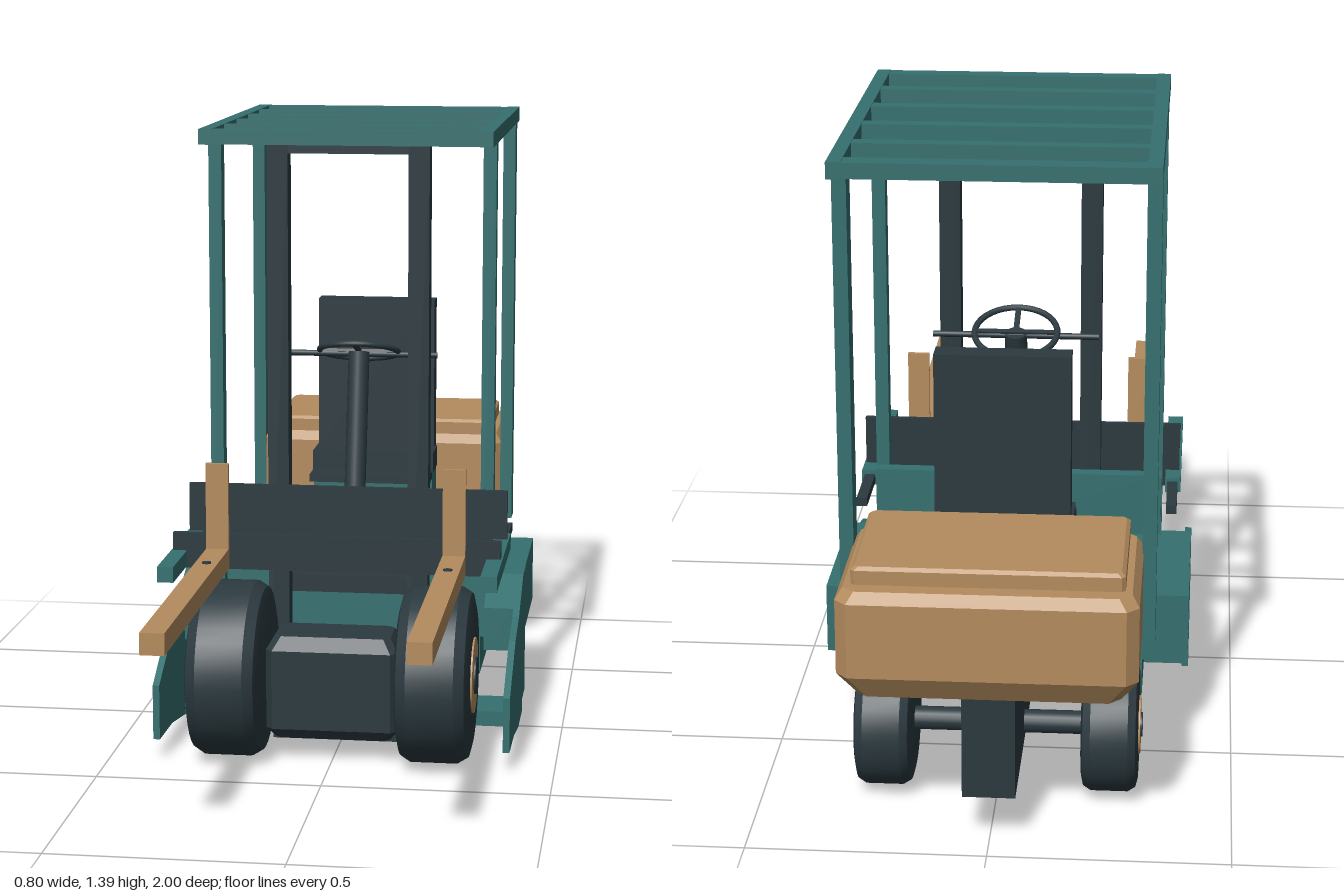
import * as THREE from 'three';
import { toCreasedNormals } from 'three/addons/utils/BufferGeometryUtils.js';

const material = (name, color) => {
  const m = new THREE.MeshStandardMaterial({ color });
  m.name = name;
  return m;
};

export function createModel() {
  const model = new THREE.Group();
  model.name = 'forklift';
  const teal = material('teal paint', 0x35706f);
  const dark = material('dark rubber and steel', 0x2b393f);
  const tan = material('tan paint', 0xb48c5e);

  const add = (name, geometry, mat) => {
    const mesh = new THREE.Mesh(geometry, mat);
    mesh.name = name;
    model.add(mesh);
    return mesh;
  };
  // Box given by its limits on each axis
  const box = (name, mat, x0, x1, y0, y1, z0, z1) =>
    add(name, new THREE.BoxGeometry(x1 - x0, y1 - y0, z1 - z0), mat)
      .position.set((x0 + x1) / 2, (y0 + y1) / 2, (z0 + z1) / 2);
  // Box centred on x = 0
  const mid = (name, mat, hx, ...rest) => box(name, mat, -hx, hx, ...rest);
  // Mirrored pair of boxes
  const pair = (name, mat, x0, x1, ...rest) => {
    box(name + 'Left', mat, x0, x1, ...rest);
    box(name + 'Right', mat, -x1, -x0, ...rest);
  };
  // Side profile in (z, y), extruded from x0 to x1
  const profile = (name, mat, points, x0, x1) => {
    const shape = new THREE.Shape(points.map(p => new THREE.Vector2(...p)));
    const g = new THREE.ExtrudeGeometry(shape, { depth: x1 - x0, bevelEnabled: false });
    g.rotateY(-Math.PI / 2).translate(x1, 0, 0);
    add(name, g, mat);
  };
  // Round bar between two points
  const rod = (name, mat, a, b, r, sides = 16) => {
    const from = new THREE.Vector3(...a), to = new THREE.Vector3(...b);
    const dir = to.clone().sub(from);
    const m = add(name, new THREE.CylinderGeometry(r, r, dir.length(), sides), mat);
    m.position.copy(from).add(to).multiplyScalar(0.5);
    m.quaternion.setFromUnitVectors(new THREE.Vector3(0, 1, 0), dir.normalize());
  };
  // Stack of chamfered rectangles: [y, half width, zBack, zFront]
  const loft = (name, mat, rings, c) => {
    const pos = [], idx = [], n = 8;
    for (const [y, w, a, b] of rings) {
      for (const [x, z] of [[w, a + c], [w, b - c], [w - c, b], [c - w, b],
        [-w, b - c], [-w, a + c], [c - w, a], [w - c, a]]) pos.push(x, y, z);
    }
    for (let r = 0; r < rings.length - 1; r++) {
      for (let i = 0; i < n; i++) {
        const p = r * n + i, q = r * n + (i + 1) % n;
        idx.push(p, p + n, q, q, p + n, q + n);
      }
    }
    const top = (rings.length - 1) * n;
    for (let i = 1; i < n - 1; i++) {
      idx.push(0, i, i + 1, top, top + i + 1, top + i);
    }
    // Side corners run +z first, so flip to face outward
    for (let i = 0; i < idx.length; i += 3) [idx[i + 1], idx[i + 2]] = [idx[i + 2], idx[i + 1]];
    const g = new THREE.BufferGeometry();
    g.setAttribute('position', new THREE.Float32BufferAttribute(pos, 3));
    g.setIndex(idx);
    // Orient by the sign of the enclosed volume
    let volume = 0;
    const v = i => new THREE.Vector3(pos[i * 3], pos[i * 3 + 1], pos[i * 3 + 2]);
    for (let i = 0; i < idx.length; i += 3) volume += v(idx[i]).dot(v(idx[i + 1]).cross(v(idx[i + 2])));
    if (volume < 0) g.setIndex(idx.reverse());
    add(name, toCreasedNormals(g, 0.2), mat);
  };

  // Wheels: bevelled tyre, hub disc and centre cap
  const wheel = (name, side, x, y, z, r, w, hubR, capR) => {
    const group = new THREE.Group();
    group.name = name;
    const h = w / 2, b = r * 0.09;
    const pts = [[0, -h], [r * 0.8, -h], [r * 0.93, -h + b * 0.35], [r, -h + b * 1.6],
      [r, h - b * 1.6], [r * 0.93, h - b * 0.35], [r * 0.8, h], [0, h]];
    const tyre = toCreasedNormals(
      new THREE.LatheGeometry(pts.map(p => new THREE.Vector2(...p)), 36), 0.35);
    const parts = [['tyre', tyre, dark, 0],
      ['hub', new THREE.CylinderGeometry(hubR, hubR, 0.008, 28), tan, h],
      ['cap', new THREE.CylinderGeometry(capR, capR, 0.012, 20), dark, h + 0.002]];
    for (const [part, g, mat, offset] of parts) {
      const m = new THREE.Mesh(g, mat);
      m.name = part;
      m.position.y = offset;
      group.add(m);
    }
    group.rotation.z = -side * Math.PI / 2;
    group.position.set(side * x, y, z);
    model.add(group);
  };
  for (const side of [1, -1]) {
    wheel('frontWheel', side, 0.232, 0.203, 0.275, 0.198, 0.162, 0.085, 0.042);
    wheel('rearWheel', side, 0.24, 0.15, -0.665, 0.143, 0.12, 0.062, 0.026);
  }
  rod('rearAxle', dark, [-0.2, 0.15, -0.665], [0.2, 0.15, -0.665], 0.025);
  // Drive housing between the front wheels
  loft('driveHousing', dark, [[0.055, 0.13, 0.2, 0.32], [0.08, 0.148, 0.185, 0.34],
    [0.26, 0.148, 0.185, 0.34], [0.29, 0.13, 0.2, 0.32]], 0.015);
  mid('lowerFrame', dark, 0.15, 0.02, 0.05, -0.07, 0.21);

  // Chassis
  mid('deck', teal, 0.4, 0.2, 0.355, -0.445, -0.065);
  mid('underbody', teal, 0.3, 0.11, 0.2, -0.46, -0.07);
  mid('floorMat', dark, 0.2, 0.3, 0.36, -0.555, -0.09);
  mid('rearChassis', dark, 0.055, 0.11, 0.35, -0.945, -0.46);
  mid('bottomPlate', teal, 0.385, 0.02, 0.055, -0.07, 0.06);
  mid('dashPanel', teal, 0.33, 0.3, 0.5, -0.092, -0.06);
  const skirt = [[0.355, 0.05], [0.355, 0.175], [0.19, 0.262], [0.08, 0.288], [-0.065, 0.355],
    [-0.15, 0.355], [-0.15, 0.05], [-0.07, 0.05], [-0.07, 0.02], [0.06, 0.02], [0.21, 0.045]];
  const slope = [[-0.065, 0.2], [-0.065, 0.355], [0.05, 0.3], [0.05, 0.2]];
  for (const s of [1, -1]) {
    const span = (a, b) => s > 0 ? [a, b] : [-b, -a];
    profile('sideSkirt', teal, skirt, ...span(0.386, 0.401));
    profile('fenderSlope', teal, slope, ...span(0.318, 0.386));
  }

  // Counterweight with its lid
  loft('counterweight', tan, [[0.34, 0.27, -0.965, -0.655], [0.395, 0.305, -1, -0.62],
    [0.555, 0.305, -1, -0.62], [0.578, 0.29, -0.985, -0.63]], 0.025);
  loft('counterweightLid', tan, [[0.575, 0.276, -0.95, -0.63], [0.608, 0.276, -0.95, -0.63],
    [0.615, 0.268, -0.943, -0.637]], 0.008);

  // Overhead guard
  pair('roofRail', teal, 0.303, 0.333, 1.365, 1.4, -0.767, 0.097);
  for (const [z0, z1] of [[-0.767, -0.72], [-0.602, -0.568], [-0.436, -0.402],
    [-0.27, -0.236], [-0.102, -0.067], [0.055, 0.097]]) {
    mid('roofSlat', teal, 0.304, 1.366, 1.399, z0, z1);
  }
  pair('frontPost', teal, 0.302, 0.332, 0.3, 1.37, -0.062, -0.022);
  pair('rearPost', teal, 0.302, 0.332, 0.36, 1.37, -0.697, -0.641);

  // Mast
  pair('mastRail', dark, 0.138, 0.186, 0.05, 1.365, -0.006, 0.043);
  mid('mastTopBar', dark, 0.14, 1.343, 1.364, -0.003, 0.04);
  mid('mastCrossbar', dark, 0.15, 0.312, 0.352, -0.06, -0.006);

  // Carriage, arms and forks
  mid('carriagePlate', dark, 0.37, 0.425, 0.578, 0.044, 0.056);
  mid('forkBar', dark, 0.37, 0.425, 0.505, 0.238, 0.256);
  pair('carriageArm', teal, 0.338, 0.374, 0.43, 0.465, -0.01, 0.42);
  pair('carriagePin', dark, 0.343, 0.367, 0.436, 0.456, -0.165, -0.01);
  pair('forkTine', tan, 0.241, 0.292, 0.427, 0.473, 0.256, 1);
  pair('forkUpright', tan, 0.241, 0.292, 0.425, 0.668, 0.256, 0.268);
  for (const s of [1, -1]) {
    rod('forkBolt', dark, [s * 0.266, 0.47, 0.405], [s * 0.266, 0.476, 0.405], 0.01);
  }

  // Seat
  mid('seatBase', teal, 0.148, 0.355, 0.515, -0.535, -0.432);
  mid('seatCushion', dark, 0.15, 0.515, 0.565, -0.54, -0.435);
  mid('seatLip', dark, 0.148, 0.502, 0.52, -0.44, -0.355);
  mid('backrest', dark, 0.145, 0.562, 0.937, -0.56, -0.505);

  // Steering
  rod('steeringColumn', dark, [0, 0.36, -0.04], [0, 0.86, -0.16], 0.025);
  const steering = new THREE.Group();
  steering.name = 'steeringWheel';
  const rim = new THREE.Mesh(new THREE.TorusGeometry(0.093, 0.007, 10, 36), dark);
  rim.name = 'rim';
  steering.add(rim);
  for (const a of [0, -Math.PI / 2, Math.PI]) {
    const spoke = new THREE.Mesh(new THREE.BoxGeometry(0.09, 0.012, 0.008), dark);
    spoke.name = 'spoke';
    spoke.position.set(Math.cos(a) * 0.045, Math.sin(a) * 0.045, 0);
    spoke.rotation.z = a;
    steering.add(spoke);
  }
  steering.rotation.x = -Math.PI / 2 - 0.34;
  steering.position.set(0, 0.862, -0.16);
  model.add(steering);
  rod('controlBar', dark, [-0.186, 0.855, -0.16], [0.186, 0.855, -0.16], 0.007, 10);

  return model;
}
